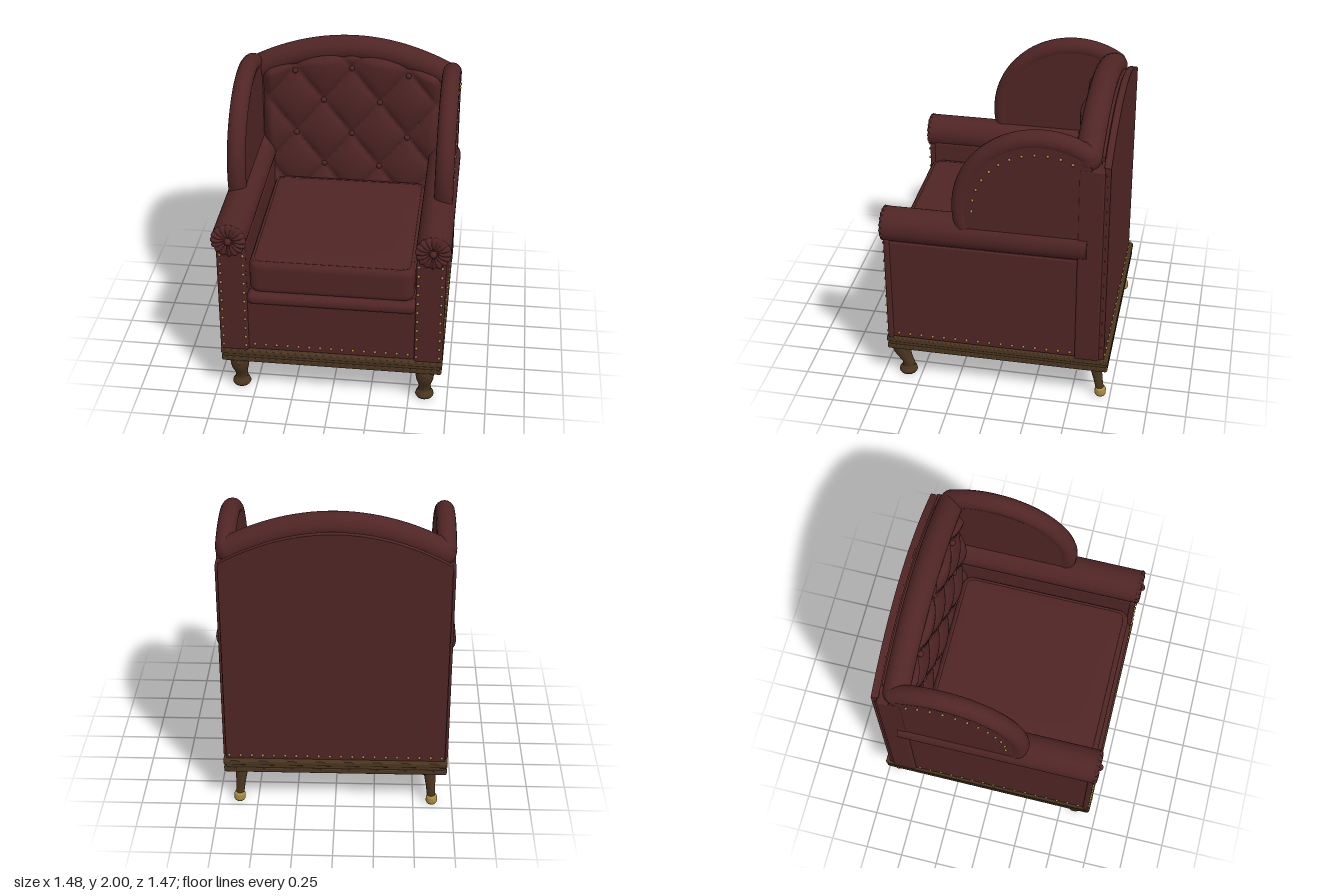
import * as THREE from 'three';
import { mergeGeometries } from 'three/addons/utils/BufferGeometryUtils.js';
import { RoundedBoxGeometry } from 'three/addons/geometries/RoundedBoxGeometry.js';

const paint = (color) => new THREE.MeshStandardMaterial({ color });
const V = (x, y, z) => new THREE.Vector3(x, y, z);

export function createModel() {
  const model = new THREE.Group();
  const leather = paint(0x502525), wood = paint(0x4a3520), brass = paint(0xa88c42), dark = paint(0x3a1c1c);
  const leatherSheet = paint(0x502525);
  leatherSheet.side = THREE.DoubleSide;

  const add = (name, geometry, material = leather) => {
    const mesh = new THREE.Mesh(geometry, material);
    mesh.name = name;
    model.add(mesh);
    return mesh;
  };
  // Rounded box given by its extents
  const block = (name, [x0, x1], [y0, y1], [z0, z1], r = 0.01, material = leather) =>
    add(name, new RoundedBoxGeometry(Math.abs(x1 - x0), y1 - y0, z1 - z0, 4, r)
      .translate((x0 + x1) / 2, (y0 + y1) / 2, (z0 + z1) / 2), material);
  const tube = (name, points, r, closed = false, sides = 16) =>
    add(name, new THREE.TubeGeometry(new THREE.CatmullRomCurve3(points, closed), points.length * 3, r, sides, closed));
  const ball = (name, r, p, material = leather) =>
    add(name, new THREE.SphereGeometry(r, 16, 12).translate(p.x, p.y, p.z), material);
  const rectPath = (w, d, r) => {
    const s = new THREE.Shape(), x = w / 2, y = d / 2;
    s.moveTo(-x + r, -y).lineTo(x - r, -y).quadraticCurveTo(x, -y, x, -y + r);
    s.lineTo(x, y - r).quadraticCurveTo(x, y, x - r, y).lineTo(-x + r, y);
    s.quadraticCurveTo(-x, y, -x, y - r).lineTo(-x, -y + r).quadraticCurveTo(-x, -y, -x + r, -y);
    return s;
  };
  // Turned leg whose rings follow a bent centre line: [radius, y, x offset, z offset]
  const leg = (name, rings, x, z, side, material) => {
    const g = new THREE.LatheGeometry(rings.map((p) => new THREE.Vector2(p[0], p[1])), 20);
    const pos = g.attributes.position;
    for (let i = 0; i < pos.count; i++) {
      const p = rings[i % rings.length];
      pos.setX(i, pos.getX(i) + side * (x + p[2]));
      pos.setZ(i, pos.getZ(i) + z + p[3]);
    }
    g.computeVertexNormals();
    add(name, g, material);
  };
  const nails = [];
  const nail = (x, y, z) => nails.push(new THREE.SphereGeometry(0.009, 8, 6).translate(x, y, z));
  const arch = (x) => 1.92 - 0.417 * x * x;

  // Stepped wooden plinth frame, open below
  [[0.245, 0.034, 0.704], [0.275, 0.03, 0.698], [0.3, 0.032, 0.707]].forEach(([y, h, x]) => {
    const s = rectPath(2 * x, 2 * x + 0.015, 0.012);
    s.holes.push(rectPath(1.22, 1.22, 0.01));
    add('plinthMoulding', new THREE.ExtrudeGeometry(s, {
      depth: h - 0.012, bevelEnabled: true, bevelSize: 0.006, bevelThickness: 0.006, bevelSegments: 3,
    }).rotateX(-Math.PI / 2).translate(0, y + 0.006, -0.016), wood);
  });
  block('bottomBoard', [-0.67, 0.67], [0.328, 0.36], [-0.67, 0.65], 0.004, dark);
  block('dustCover', [-0.54, 0.54], [0.3, 0.335], [-0.55, 0.53], 0.004, dark);

  for (const side of [-1, 1]) {
    // Cabriole front legs
    leg('frontLeg', [[0, 0, 0, -0.02], [0.054, 0.002, 0, -0.02], [0.06, 0.014, 0, -0.02], [0.056, 0.03, 0, -0.02],
      [0.036, 0.046, 0, -0.022], [0.042, 0.058, 0, -0.023], [0.038, 0.08, 0, -0.02], [0.045, 0.12, 0, 0],
      [0.055, 0.16, 0, 0.017], [0.06, 0.2, 0, 0.025], [0.062, 0.23, 0, 0.022], [0.06, 0.255, 0, 0.02]], 0.602, 0.615, side, wood);
    ball('kneeOrnament', 0.024, V(side * 0.6, 0.225, 0.682), wood);
    // Splayed back legs with brass tips
    leg('backLeg', [[0.026, 0.045, 0.018, -0.04], [0.03, 0.12, 0.012, -0.025], [0.04, 0.215, 0.004, -0.006],
      [0.044, 0.255, 0, 0]], 0.6, -0.642, side, wood);
    leg('backLegTip', [[0, 0, 0, 0], [0.03, 0.001, 0, 0], [0.036, 0.012, 0, 0], [0.036, 0.045, 0, 0],
      [0.03, 0.058, 0, 0], [0, 0.06, 0, 0]], 0.62, -0.686, side, brass);

    // Arm walls, front posts and rear posts
    block('armWall', [side * 0.53, side * 0.69], [0.33, 1.1], [-0.56, 0.66]);
    block('sidePanel', [side * 0.66, side * 0.7], [0.335, 1.06], [-0.525, 0.672], 0.012);
    block('frontPost', [side * 0.53, side * 0.712], [0.33, 1.08], [0.655, 0.692], 0.012);
    block('rearPost', [side * 0.59, side * 0.716], [0.33, 1.7], [-0.675, -0.522], 0.012);

    // Rolled arm with fluted rosette
    add('armRoll', new THREE.CylinderGeometry(0.108, 0.108, 1.27, 36).rotateX(Math.PI / 2).translate(side * 0.63, 1.153, 0.055));
    const petals = new THREE.LatheGeometry([[0.1, -0.015], [0.112, 0], [0.113, 0.01], [0.1, 0.022], [0.065, 0.026], [0.03, 0.016],
      [0, 0.014]].map((p) => new THREE.Vector2(...p)), 112);
    const pos = petals.attributes.position;
    for (let i = 0; i < pos.count; i++) {
      const x = pos.getX(i), z = pos.getZ(i), flute = Math.abs(Math.cos(8 * Math.atan2(z, x)));
      const k = 0.95 + 0.04 * flute;
      pos.setXYZ(i, x * k, pos.getY(i) - 0.014 * (1 - flute) * Math.hypot(x, z) / 0.1, z * k);
    }
    petals.computeVertexNormals();
    add('armRosette', petals.rotateX(Math.PI / 2).translate(side * 0.63, 1.153, 0.69));
    ball('rosetteButton', 0.023, V(side * 0.63, 1.153, 0.71));

    // Wing: arched panel edged by a padded roll
    const arc = (r, a) => [-0.3 + r * Math.cos(a), 1.35 + r * Math.sin(a)];
    const angles = Array.from({ length: 25 }, (_, i) => -0.32 + i * 2.46 / 24);
    const shape = new THREE.Shape();
    shape.moveTo(-0.6, 1.16);
    angles.forEach((a) => shape.lineTo(...arc(0.5, a)));
    shape.lineTo(-0.6, 1.7);
    add('wingPanel', new THREE.ExtrudeGeometry(shape, { depth: 0.108, bevelEnabled: false })
      .rotateY(-Math.PI / 2).translate(side * 0.659 + 0.054, 0, 0));
    const edge = angles.map((a) => { const [z, y] = arc(0.5, a); return V(side * 0.66, y, z); });
    tube('wingRoll', edge, 0.06);
    ball('wingRollEnd', 0.06, edge[24]);
    for (let i = 0; i < 12; i++) {
      const [z, y] = arc(0.425, i * 2.02 / 11);
      nail(side * 0.718, y, z);
    }

    // Nail rows on the posts and sides
    for (let i = 0; i < 11; i++) {
      const y = 0.37 + i * 0.0675;
      nail(side * 0.69, y, 0.695);
      nail(side * 0.545, y, 0.695);
    }
    for (let i = 0; i < 16; i++) nail(side * 0.703, 0.37, 0.62 - i * 0.074);
  }

  // Seat base, front apron and rail
  block('seatBase', [-0.54, 0.54], [0.33, 0.74], [-0.6, 0.64]);
  block('frontApron', [-0.535, 0.535], [0.33, 0.7], [0.6, 0.672]);
  block('seatRail', [-0.535, 0.535], [0.68, 0.762], [0.58, 0.695], 0.038);

  // Seat cushion: rounded sides, softly crowned top, piped edges
  const crown = (x, z) => 0.022 * (1 - (x / 0.52) ** 4) * (1 - ((z - 0.1) / 0.58) ** 4);
  add('seatCushion', new THREE.ExtrudeGeometry(rectPath(0.99, 1.09, 0.05), {
    depth: 0.13, bevelEnabled: true, bevelSize: 0.026, bevelThickness: 0.045, bevelSegments: 6, curveSegments: 6,
  }).rotateX(-Math.PI / 2).translate(0, 0.808, 0.1));
  const top = new THREE.PlaneGeometry(0.98, 1.08, 24, 24).rotateX(-Math.PI / 2).translate(0, 0.98, 0.095);
  const cp = top.attributes.position;
  for (let i = 0; i < cp.count; i++) cp.setY(i, 0.978 + crown(cp.getX(i), cp.getZ(i)));
  top.computeVertexNormals();
  add('cushionCrown', top, leatherSheet);
  for (const y of [0.782, 0.976]) {
    const loop = rectPath(0.996, 1.09, 0.06).getSpacedPoints(72).slice(0, -1).map((p) => V(p.x, y, p.y + 0.1));
    tube('cushionPiping', loop, 0.011, true, 8);
  }

  // Arched back: outer panel and inner core
  const archPanel = (name, w, drop, z0, z1) => {
    const s = new THREE.Shape();
    s.moveTo(-w, 0.335).lineTo(w, 0.335);
    for (let i = 0; i <= 24; i++) { const x = w - i * w / 12; s.lineTo(x, arch(x) - drop); }
    add(name, new THREE.ExtrudeGeometry(s, { depth: z1 - z0, bevelEnabled: false }).translate(0, 0, z0));
  };
  archPanel('outerBack', 0.695, 0, -0.708, -0.672);
  archPanel('backLining', 0.7, 0.05, -0.69, -0.645);
  archPanel('backCore', 0.61, 0.02, -0.66, -0.545);
  const archLine = (w, z, lift) => Array.from({ length: 21 }, (_, i) => { const x = -w + i * w / 10; return V(x, arch(x) + lift, z); });
  tube('backPiping', archLine(0.685, -0.675, -0.012), 0.012, false, 8);
  const roll = archLine(0.64, -0.565, 0);
  tube('topRoll', roll, 0.08, false, 24);
  ball('topRollEnd', 0.08, roll[0]);
  ball('topRollEnd', 0.08, roll[20]);

  // Diamond-tufted inner back, tucked under the top roll
  const tuftZ = (x, y) => {
    const u = x / 0.375, v = (y - 1.8) / 0.48;
    const puff = Math.abs(Math.sin(Math.PI * (u + v)) * Math.sin(Math.PI * (u - v)));
    const fade = (d) => Math.sqrt(THREE.MathUtils.clamp(d, 0, 1));
    const rim = fade((0.605 - Math.abs(x)) / 0.06) * fade((arch(x) - y) / 0.06);
    return -0.545 + rim * (0.04 + 0.055 * Math.pow(puff, 0.4));
  };
  const tuft = new THREE.PlaneGeometry(1.22, 1, 84, 84);
  const tp = tuft.attributes.position;
  for (let i = 0; i < tp.count; i++) {
    const x = tp.getX(i), y = THREE.MathUtils.lerp(0.8, arch(x), tp.getY(i) + 0.5);
    tp.setXYZ(i, x, y, tuftZ(x, y));
  }
  tuft.computeVertexNormals();
  add('tuftedBack', tuft, leatherSheet);
  for (const [x, y] of [[0, 1.8], [0.375, 1.77], [0.188, 1.56], [0, 1.32], [0.375, 1.31], [0.188, 1.08]])
    for (const s of x ? [-1, 1] : [1]) ball('tuftButton', 0.019, V(s * x, y, tuftZ(x, y) + 0.008));

  // Nail rows along the front and back
  for (let i = 0; i < 15; i++) nail(-0.49 + i * 0.07, 0.37, 0.674);
  for (let i = 0; i < 20; i++) nail(-0.675 + i * 0.071, 0.36, -0.712);
  add('nailHeads', mergeGeometries(nails), brass);
  return model;
}
